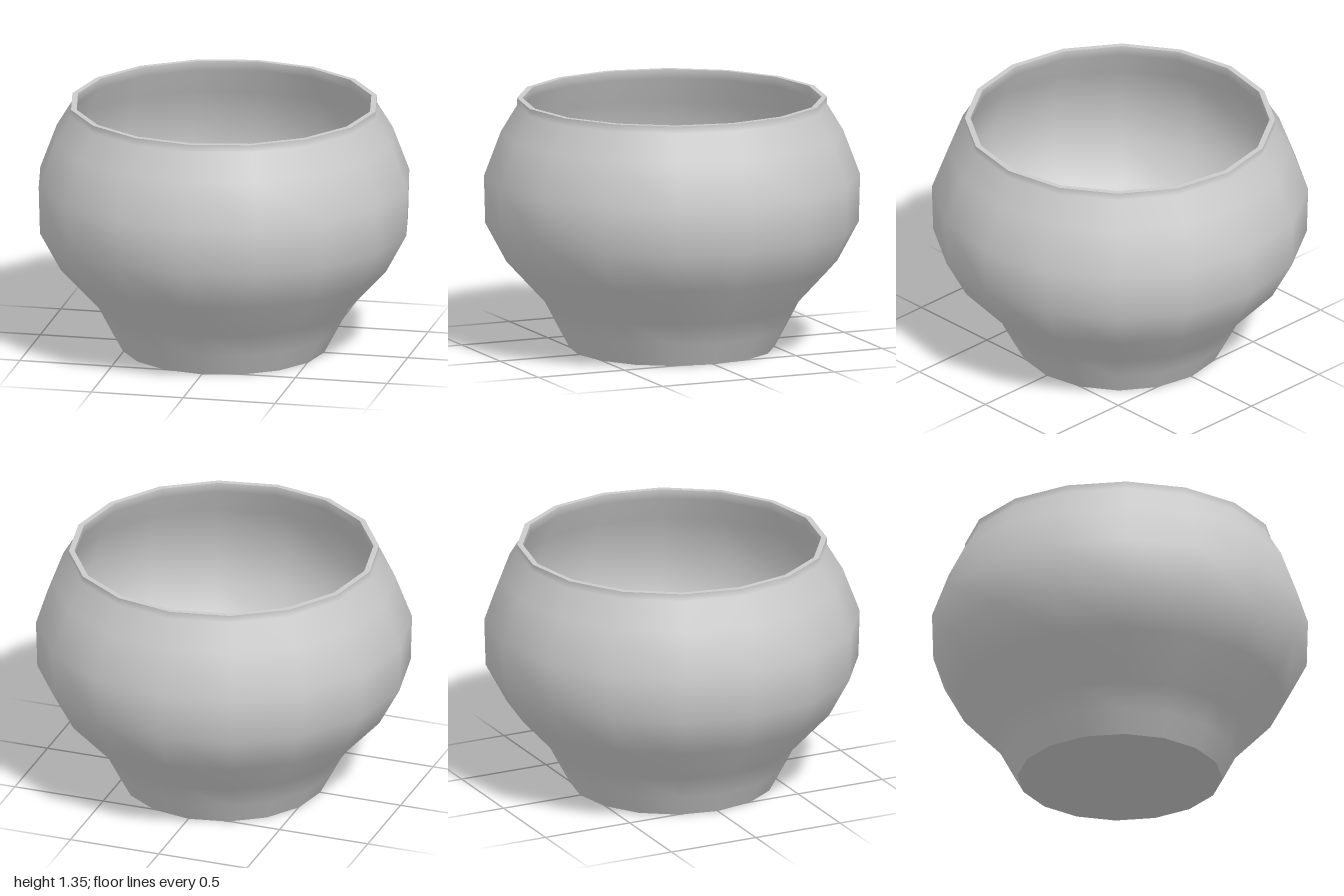
import * as THREE from 'three';

const SIDES = 16;

// Outer wall from foot to lip
const outer = [
  [0.545, 0], [0.61, 0.12], [0.675, 0.245], [0.88, 0.465], [0.993, 0.675],
  [1.0, 0.93], [0.91, 1.17], [0.825, 1.31], [0.825, 1.35],
];

// Inner wall from lip down to the middle of the floor
const inner = [
  [0.795, 1.35], [0.795, 1.3], [0.88, 1.155], [0.967, 0.925], [0.96, 0.685],
  [0.85, 0.485], [0.645, 0.265], [0.58, 0.14], [0.53, 0.04], [0, 0.04],
];

export function createModel() {
  const group = new THREE.Group();
  group.name = 'bowl';
  const material = new THREE.MeshStandardMaterial({ color: 0xcccccc });

  // Each section turns separately, so edges between sections stay sharp
  const turn = (name, profile) => {
    const points = profile.map(([r, y]) => new THREE.Vector2(r, y));
    const mesh = new THREE.Mesh(new THREE.LatheGeometry(points, SIDES), material);
    mesh.name = name;
    group.add(mesh);
  };

  turn('outerWall', outer);
  turn('innerWall', inner);
  turn('rim', [outer.at(-1), inner[0]]);
  turn('base', [[0, 0], outer[0]]);
  return group;
}
